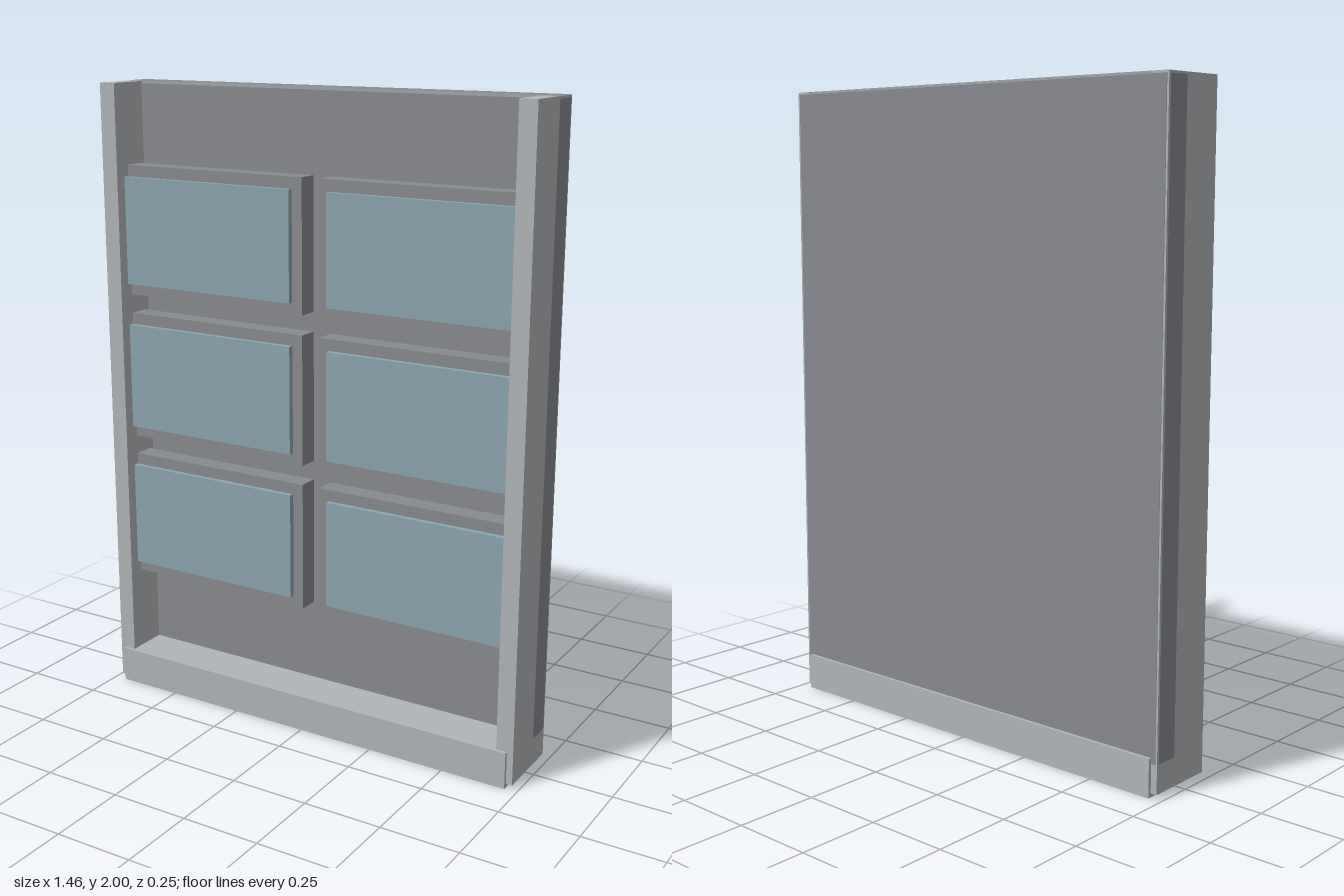
import * as THREE from 'three';
import { ConvexGeometry } from 'three/addons/geometries/ConvexGeometry.js';

const paint = (name, color) => {
  const m = new THREE.MeshStandardMaterial({ color });
  m.name = name;
  return m;
};

// Box given by its lower and upper limits on each axis
function box(name, material, [x0, x1], [y0, y1], [z0, z1]) {
  const mesh = new THREE.Mesh(new THREE.BoxGeometry(x1 - x0, y1 - y0, z1 - z0), material);
  mesh.position.set((x0 + x1) / 2, (y0 + y1) / 2, (z0 + z1) / 2);
  mesh.name = name;
  return mesh;
}

// Box with every edge and corner chamfered by c
function chamferedBox(w, h, d, c) {
  const points = [];
  for (const sx of [-1, 1]) for (const sy of [-1, 1]) for (const sz of [-1, 1])
    for (let axis = 0; axis < 3; axis++) {
      const inset = [c, c, c];
      inset[axis] = 0;
      points.push(new THREE.Vector3(
        sx * (w / 2 - inset[0]), sy * (h / 2 - inset[1]), sz * (d / 2 - inset[2])));
    }
  return new ConvexGeometry(points);
}

export function createModel() {
  const model = new THREE.Group();
  model.name = 'wallPanel';
  const light = paint('lightGrey', 0xb2b6b9);
  const dark = paint('darkGrey', 0x888b90);
  const glass = paint('blueGlass', 0x8ca6b1);

  // Back wall, a hair proud of the pillars so its faces show
  const wall = new THREE.Mesh(chamferedBox(1.462, 1.908, 0.091, 0.008), dark);
  wall.position.set(0, 1.046, -0.0685);
  wall.name = 'backWall';
  model.add(wall);

  // Plinth
  model.add(box('plinth', light, [-0.71, 0.71], [0, 0.116], [-0.124, 0.124]));

  for (const side of [-1, 1]) {
    const span = (a, b) => side > 0 ? [a, b] : [-b, -a];
    const label = side > 0 ? 'left' : 'right';

    // Side pillar
    model.add(box(label + 'Pillar', light, span(0.675, 0.73), [0.012, 1.999], [-0.113, 0.113]));

    // Three framed windows, running into the pillar
    for (let row = 0; row < 3; row++) {
      const y = 0.594 + row * 0.473;
      const unit = new THREE.Group();
      unit.name = label + 'Window' + (row + 1);
      unit.add(
        box('windowFrame', dark, span(0.03, 0.715), [y - 0.206, y + 0.206], [-0.006, 0.06]),
        box('windowPane', glass, span(0.065, 0.68), [y - 0.17, y + 0.17], [0.05, 0.078]));
      model.add(unit);
    }
  }
  return model;
}
